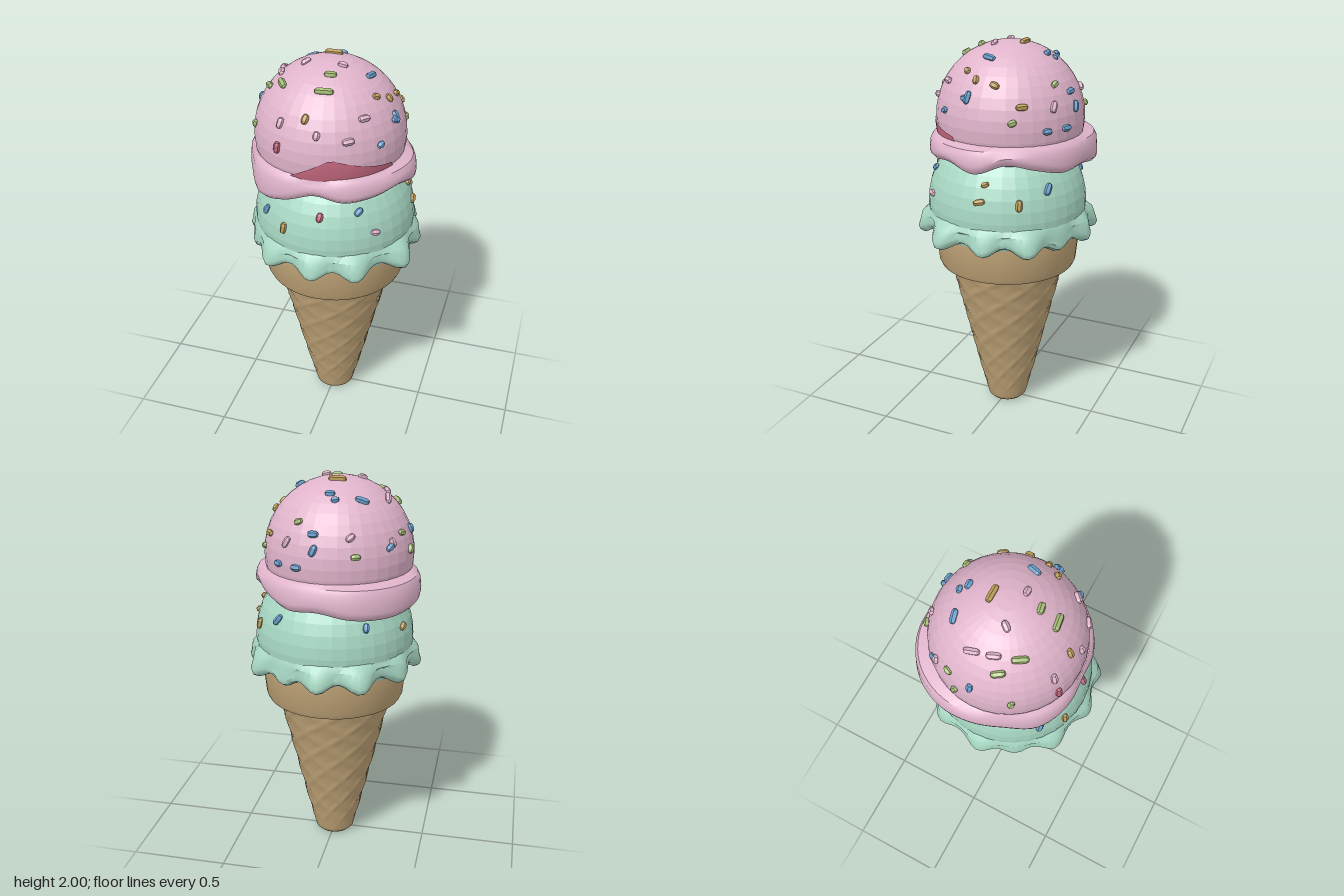
import * as THREE from 'three';
import { toCreasedNormals } from 'three/addons/utils/BufferGeometryUtils.js';

const mat = (name, color) => {
  const m = new THREE.MeshStandardMaterial({ color });
  m.name = name;
  return m;
};
const RAD = Math.PI / 180;

// Surface around the y axis; profile(angle) lists points from top to bottom.
// Angle 0 is the front, 90 degrees is +x.
function loft(profile, segs, crease = 0.4) {
  const pos = [], idx = [];
  let n = 0;
  for (let i = 0; i < segs; i++) {
    const pts = profile((i / segs) * Math.PI * 2);
    n = pts.length;
    pts.forEach((p) => pos.push(...p));
  }
  for (let i = 0; i < segs; i++) {
    const a = i * n, b = ((i + 1) % segs) * n;
    for (let j = 0; j < n - 1; j++) {
      idx.push(a + j, a + j + 1, b + j, a + j + 1, b + j + 1, b + j);
    }
  }
  const g = new THREE.BufferGeometry();
  g.setAttribute('position', new THREE.Float32BufferAttribute(pos, 3));
  g.setIndex(idx);
  return toCreasedNormals(g, crease);
}

const ring = (a, r, y, cx = 0, cz = 0) => [cx + Math.sin(a) * r, y, cz + Math.cos(a) * r];

// Smooth periodic lookup in a table of evenly spaced values
function around(table, a) {
  const n = table.length, t = (a / (Math.PI * 2)) * n, i = Math.floor(t), f = t - i;
  const v = (k) => table[(i + k + n) % n];
  const [p, q, r, s] = [v(-1), v(0), v(1), v(2)];
  return q + 0.5 * f * (r - p + f * (2 * p - 5 * q + 4 * r - s + f * (3 * (q - r) + s - p)));
}

function flat(g) {
  const f = g.index ? g.toNonIndexed() : g;
  f.computeVertexNormals();
  return f;
}

export function createModel() {
  const group = new THREE.Group();
  const wafer = mat('wafer', 0xbea276);
  const mint = mat('mint', 0xa8d8c4);
  const pink = mat('strawberry pink', 0xe0b4cb);
  const syrup = mat('dark berry', 0xc4687f);
  const blue = mat('blue sprinkle', 0x6a9fcd);
  const gold = mat('gold sprinkle', 0xbc9c58);
  const green = mat('green sprinkle', 0xa6bd78);

  const add = (name, geo, material, parent = group) => {
    const m = new THREE.Mesh(geo, material);
    m.name = name;
    parent.add(m);
    return m;
  };

  // Waffle cone with a shallow diamond lattice of ridges
  add('cone', loft((a) => {
    const pts = [];
    const rows = 56;
    for (let j = 0; j <= rows; j++) {
      const y = 0.86 - (0.845 * j) / rows;
      const u = (a / (Math.PI * 2)) * 8, v = y * 6.5;
      const line = (t) => Math.abs(t - Math.round(t));
      const ridge = Math.max(0, 1 - Math.min(line(u + v), line(u - v)) / 0.2);
      pts.push(ring(a, 0.1 + 0.236 * y + 0.006 * ridge * Math.min(1, y * 5), y));
    }
    pts.push(ring(a, 0.088, 0), ring(a, 0, 0));
    return pts;
  }, 80, 0.6), wafer);

  // Collar around the top of the cone
  add('collar', loft((a) => [
    [0, 1.07], [0.375, 1.07], [0.38, 1.04], [0.362, 0.86], [0.352, 0.838], [0.31, 0.836], [0.28, 0.85],
  ].map(([r, y]) => ring(a, r, y)), 40), wafer);

  // Lower scoop
  const low = { c: new THREE.Vector3(0, 1.175, 0), r: 0.407 };
  const lowBall = flat(new THREE.SphereGeometry(low.r, 36, 22));
  add('lowerScoop', lowBall, mint).position.copy(low.c);

  // Drips of the lower scoop: [angle in degrees, reach]
  const drips = [[0, 0.455], [29, 0.465], [65, 0.478], [97, 0.448], [127, 0.465], [153, 0.42],
    [180, 0.458], [208, 0.475], [242, 0.45], [275, 0.452], [300, 0.43], [327, 0.46]];
  add('lowerDrips', loft((a) => {
    let R = 0.41, drop = 0;
    for (const [deg, reach] of drips) {
      const d = Math.atan2(Math.sin(a - deg * RAD), Math.cos(a - deg * RAD)) / (10 * RAD);
      const g = Math.exp(-d * d);
      R += (reach - 0.41) * g;
      drop += 0.055 * g;
    }
    const b = 1.058 - drop;
    return [[0.398, 1.15], [0.6 * R + 0.164, 1.115], [R - 0.008, b + 0.06], [R, b + 0.035],
      [R - 0.008, b + 0.012], [R - 0.03, b], [R - 0.055, b + 0.015], [0.36, 1.07]]
      .map(([r, y]) => ring(a, r, y));
  }, 96, 0.7), mint);

  // Upper scoop
  const top = { c: new THREE.Vector3(-0.025, 1.612, -0.006), r: 0.374 };
  add('upperScoop', flat(new THREE.SphereGeometry(top.r, 36, 22)), pink).position.copy(top.c);

  // Wavy skirt of the upper scoop, with a dark lining underneath
  const reach = [0.378, 0.392, 0.395, 0.405, 0.41, 0.39, 0.392, 0.408, 0.422, 0.455, 0.47, 0.462, 0.44, 0.413, 0.42, 0.405];
  const hem = [1.445, 1.42, 1.43, 1.45, 1.415, 1.46, 1.43, 1.40, 1.41, 1.385, 1.38, 1.39, 1.41, 1.39, 1.365, 1.40];
  add('upperSkirt', loft((a) => {
    const R = around(reach, a), b = around(hem, a);
    return [ring(a, 0.365, 1.545, top.c.x, top.c.z), ring(a, R - 0.02, 1.53), ring(a, R - 0.006, 1.505),
      ring(a, R, b + 0.04), ring(a, R - 0.004, b + 0.018), ring(a, R - 0.022, b), ring(a, R - 0.04, b + 0.008)];
  }, 80, 0.7), pink);
  add('skirtLining', loft((a) => {
    const R = around(reach, a), b = around(hem, a);
    return [ring(a, R - 0.04, b + 0.008), ring(a, R - 0.055, b + 0.035), ring(a, 0.3, 1.47)];
  }, 80, 0.7), syrup);

  // Dark pointed patch above the skirt at the front
  const patch = new THREE.PlaneGeometry(1, 1, 16, 6);
  const pp = patch.attributes.position;
  for (let i = 0; i < pp.count; i++) {
    const u = pp.getX(i) + 0.5, v = pp.getY(i) + 0.5;
    const x = -0.13 + 0.45 * u;
    const peak = u < 0.47 ? 0.115 * (u / 0.47) : 0.115 - 0.08 * ((u - 0.47) / 0.53);
    const y = 1.53 + v * peak;
    const dx = x - top.c.x, dy = y - top.c.y;
    pp.setXYZ(i, x, y, top.c.z + Math.sqrt(Math.max(0, 0.379 ** 2 - dx * dx - dy * dy)));
  }
  patch.computeVertexNormals();
  add('berryPatch', patch, syrup);

  // Sprinkles lie flat on a scoop, along the given direction
  const sprinkles = new THREE.Group();
  sprinkles.name = 'sprinkles';
  group.add(sprinkles);
  function sprinkle(ball, n, along, length, material) {
    const r = 0.0165;
    const g = flat(new THREE.CapsuleGeometry(r, Math.max(0.008, length - 2 * r), 2, 6));
    const m = add('sprinkle', g, material, sprinkles);
    const dir = along.clone().addScaledVector(n, -along.dot(n)).normalize();
    m.quaternion.setFromUnitVectors(new THREE.Vector3(0, 1, 0), dir);
    m.position.copy(ball.c).addScaledVector(n, ball.r + 0.002);
  }

  // On the crown: [x, z, colour, length, direction in plan]
  [[-0.17, -0.19, blue, 0.07, 0], [-0.05, -0.23, blue, 0.04, 20], [-0.02, -0.2, blue, 0.05, 0],
    [0.03, -0.34, blue, 0.055, 0], [0.11, -0.355, blue, 0.055, -20], [0.22, -0.31, blue, 0.05, 70],
    [0.11, -0.29, green, 0.045, 20], [-0.17, -0.345, green, 0.05, 25], [-0.32, -0.21, pink, 0.05, -30],
    [-0.35, -0.13, green, 0.045, 40], [-0.375, -0.01, blue, 0.05, 0], [-0.03, -0.08, gold, 0.09, 0],
    [-0.27, -0.05, pink, 0.08, -65], [-0.25, 0.045, pink, 0.07, -65], [-0.13, 0.04, pink, 0.055, 50],
    [0.05, 0.045, pink, 0.05, 0], [0.175, 0.015, blue, 0.07, 70], [0.275, -0.195, gold, 0.06, -50],
    [0.28, -0.06, gold, 0.05, 60], [0.27, 0.04, gold, 0.045, 0], [0.225, 0.105, gold, 0.04, 30],
    [0.31, 0.08, blue, 0.045, 60], [0.015, 0.13, green, 0.06, 10], [0.01, 0.215, green, 0.09, 8],
    [-0.295, 0.09, green, 0.07, -45], [-0.21, 0.15, green, 0.08, -60], [-0.05, 0.31, gold, 0.05, 80],
    [0.15, 0.305, pink, 0.06, 50], [0.2, 0.22, pink, 0.06, 45]].forEach(([x, z, m, len, deg]) => {
    const dx = (x - top.c.x) / top.r, dz = (z - top.c.z) / top.r;
    const n = new THREE.Vector3(dx, Math.sqrt(Math.max(0, 1 - dx * dx - dz * dz)), dz).normalize();
    sprinkle(top, n, new THREE.Vector3(Math.cos(deg * RAD), 0, -Math.sin(deg * RAD)), len, m);
  });

  // On the flanks: [scoop, angle in degrees, y, colour, length, tilt]
  [[top, -25, 1.66, syrup, 0.06, 85], [top, -26, 1.77, pink, 0.055, 85], [top, 6, 1.75, pink, 0.045, 80],
    [top, -60, 1.69, green, 0.04, 70], [top, 55, 1.68, blue, 0.035, 20], [top, 78, 1.76, blue, 0.065, 85],
    [top, 148, 1.72, pink, 0.06, 65], [top, 115, 1.66, green, 0.045, 20], [top, 172, 1.7, blue, 0.06, 70],
    [top, 200, 1.76, pink, 0.05, 40], [top, 232, 1.7, blue, 0.05, 30], [top, 258, 1.66, green, 0.05, 60],
    [low, -42, 1.29, blue, 0.055, 70], [low, -22, 1.25, gold, 0.06, 85], [low, 5, 1.34, syrup, 0.05, 80],
    [low, 34, 1.36, blue, 0.05, 40], [low, 45, 1.25, pink, 0.05, -10], [low, 94, 1.28, gold, 0.06, 15],
    [low, 97, 1.36, gold, 0.04, 30], [low, 145, 1.33, blue, 0.065, 60], [low, 122, 1.27, gold, 0.06, 85],
    [low, 215, 1.32, blue, 0.05, 80], [low, 250, 1.28, gold, 0.05, 30], [low, 285, 1.34, pink, 0.05, 60],
  ].forEach(([ball, deg, y, m, len, tilt]) => {
    const a = deg * RAD, t = tilt * RAD, h = (y - ball.c.y) / ball.r, w = Math.sqrt(1 - h * h);
    const n = new THREE.Vector3(Math.sin(a) * w, h, Math.cos(a) * w);
    const along = new THREE.Vector3(Math.cos(a) * Math.cos(t), Math.sin(t), -Math.sin(a) * Math.cos(t));
    sprinkle(ball, n, along, len, m);
  });

  return group;
}
